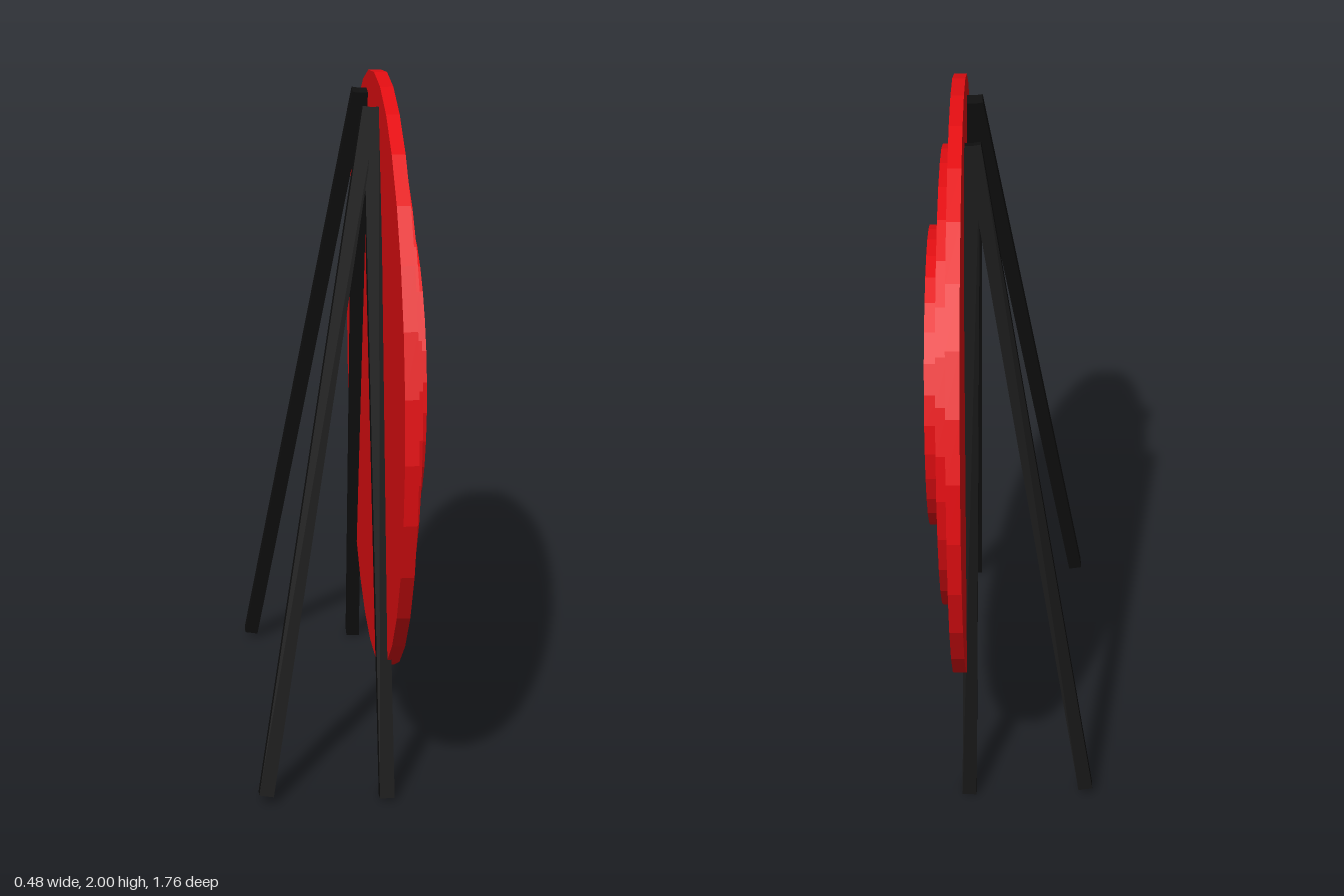
import * as THREE from 'three';

const SIDES = 32;
const CENTRE_Y = 1.12;

const makeMaterial = (color) => new THREE.MeshStandardMaterial({ color, flatShading: true });

export function createModel() {
  const group = new THREE.Group();
  const red = makeMaterial(0xe40e12);
  const grey = makeMaterial(0xcccccc);
  const black = makeMaterial(0x101010);

  // Profile of [radius, x] points turned about the x axis of the target
  const turned = (name, material, profile) => {
    const points = profile.map(([r, x]) => new THREE.Vector2(r, x));
    const mesh = new THREE.Mesh(new THREE.LatheGeometry(points, SIDES), material);
    mesh.name = name;
    mesh.rotation.z = -Math.PI / 2;
    mesh.position.y = CENTRE_Y;
    group.add(mesh);
  };

  // Stepped target: three discs with flat painted rings
  turned('backDisc', red, [[0, 0.13], [0.88, 0.13], [0.88, 0.167], [0.68, 0.167]]);
  turned('middleDisc', red, [[0.68, 0.167], [0.68, 0.2], [0.592, 0.2]]);
  turned('outerGreyRing', grey, [[0.592, 0.2], [0.444, 0.2]]);
  turned('frontDisc', red, [[0.444, 0.2], [0.444, 0.24], [0.165, 0.24]]);
  turned('innerGreyRing', grey, [[0.165, 0.24], [0.09, 0.24]]);
  turned('bullseye', red, [[0.09, 0.24], [0, 0.24]]);

  // Square leg running from its foot to its top
  const addLeg = (name, foot, top) => {
    const a = new THREE.Vector3(...foot);
    const b = new THREE.Vector3(...top);
    const direction = b.clone().sub(a);
    const leg = new THREE.Mesh(new THREE.BoxGeometry(0.042, direction.length(), 0.042), black);
    leg.name = name;
    leg.position.copy(a).add(b).multiplyScalar(0.5);
    leg.quaternion.setFromUnitVectors(new THREE.Vector3(0, 1, 0), direction.normalize());
    group.add(leg);
  };

  // A splayed pair of legs on each side of the target
  for (const [label, s] of [['A', 1], ['B', -1]]) {
    addLeg('frontLeg' + label, [0.125, 0.005, 0.573 * s], [0.105, 1.925, 0.16 * s]);
    addLeg('rearLeg' + label, [-0.222, 0.025, 0.573 * s], [0.102, 1.925, 0.16 * s]);
  }

  return group;
}
